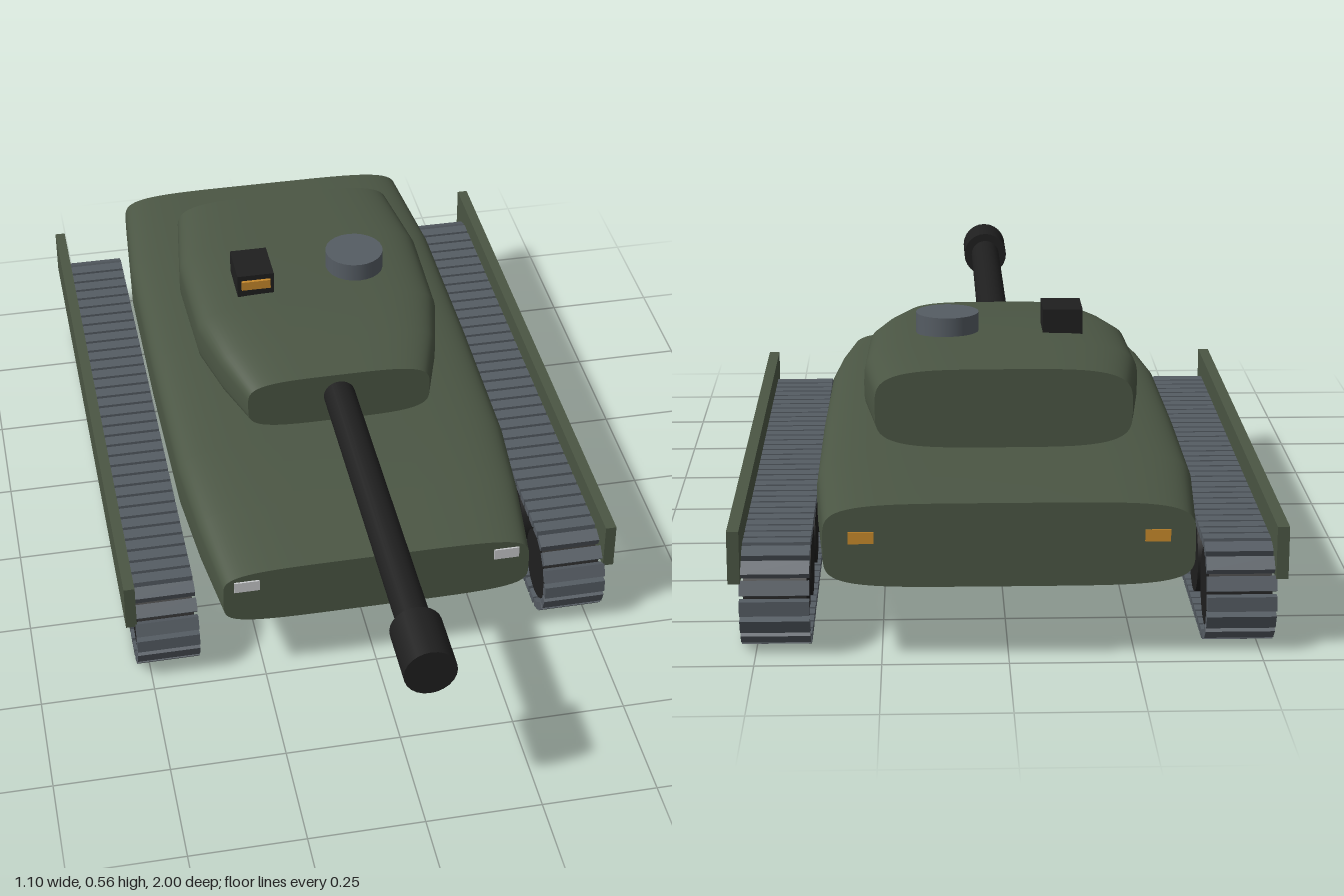
import * as THREE from 'three';

const mat = (name, color) => {
  const m = new THREE.MeshStandardMaterial({ color });
  m.name = name;
  return m;
};

// Loft rounded-box sections [z, halfWidth, bottom, top], listed front to back, with flat caps
function loft(sections, power, sides = 64) {
  const pos = [], idx = [];
  const soft = v => Math.sign(v) * Math.abs(v) ** (2 / power);
  const ring = ([z, w, y0, y1]) => {
    const start = pos.length / 3;
    for (let j = 0; j < sides; j++) {
      const t = (j / sides) * Math.PI * 2;
      pos.push(w * soft(Math.cos(t)), (y0 + y1) / 2 + ((y1 - y0) / 2) * soft(Math.sin(t)), z);
    }
    return start;
  };
  const starts = sections.map(ring);
  for (let i = 0; i < starts.length - 1; i++) {
    for (let j = 0; j < sides; j++) {
      const k = (j + 1) % sides;
      const a = starts[i] + j, b = starts[i] + k, c = starts[i + 1] + j, d = starts[i + 1] + k;
      idx.push(a, c, b, b, c, d);
    }
  }
  // Caps use their own vertices so the rim stays sharp
  [sections[0], sections[sections.length - 1]].forEach((s, end) => {
    const r = ring(s), centre = pos.length / 3;
    pos.push(0, (s[2] + s[3]) / 2, s[0]);
    for (let j = 0; j < sides; j++) {
      const k = (j + 1) % sides;
      if (end === 0) idx.push(centre, r + j, r + k);
      else idx.push(centre, r + k, r + j);
    }
  });
  const g = new THREE.BufferGeometry();
  g.setAttribute('position', new THREE.Float32BufferAttribute(pos, 3));
  g.setIndex(idx);
  g.computeVertexNormals();
  return g;
}

export function createModel() {
  const green = mat('armour green', 0x4b5644);
  const dark = mat('dark metal', 0x1f1f1f);
  const steel = mat('track steel', 0x555c63);
  const amber = mat('amber glass', 0xc88a2c);
  const white = mat('headlight glass', 0xc8cacc);

  const model = new THREE.Group();
  model.name = 'tank';
  const add = (name, geometry, material, x = 0, y = 0, z = 0, parent = model) => {
    const m = new THREE.Mesh(geometry, material);
    m.name = name;
    m.position.set(x, y, z);
    parent.add(m);
    return m;
  };
  const box = (w, h, d) => new THREE.BoxGeometry(w, h, d);

  // Hull and turret
  add('hull', loft([
    [0.5, 0.34, 0.163, 0.305], [0.3, 0.364, 0.15, 0.322], [0.1, 0.38, 0.143, 0.334],
    [-0.3, 0.385, 0.14, 0.338], [-0.7, 0.384, 0.143, 0.341], [-0.997, 0.362, 0.16, 0.33],
  ], 5), green);
  add('turret', loft([
    [0.07, 0.21, 0.355, 0.48], [-0.06, 0.252, 0.346, 0.494], [-0.2, 0.284, 0.338, 0.506],
    [-0.45, 0.291, 0.335, 0.511], [-0.66, 0.265, 0.342, 0.508],
  ], 4), green);

  // Gun
  const tube = (name, r, z0, z1) => {
    const m = add(name, new THREE.CylinderGeometry(r, r, z1 - z0, 24), dark, 0, 0.425, (z0 + z1) / 2);
    m.rotation.x = Math.PI / 2;
  };
  tube('gunBarrel', 0.036, 0.03, 0.9);
  tube('muzzle', 0.055, 0.865, 1);

  // Roof fittings
  add('cupola', new THREE.CylinderGeometry(0.068, 0.068, 0.06, 24), steel, 0.112, 0.52, -0.32);
  add('sightHousing', box(0.086, 0.064, 0.11), dark, -0.137, 0.528, -0.298);
  add('sightLens', box(0.068, 0.022, 0.008), amber, -0.137, 0.536, -0.24);

  for (const side of [1, -1]) {
    const name = side > 0 ? 'left' : 'right';

    // Lamps
    add(name + 'Headlight', box(0.056, 0.026, 0.008), white, side * 0.288, 0.268, 0.5);
    add(name + 'TailLight', box(0.05, 0.024, 0.008), amber, side * 0.288, 0.262, -0.996);

    // Running gear
    const gear = new THREE.Group();
    gear.name = name + 'RunningGear';
    gear.position.x = side * 0.46;
    model.add(gear);
    add('sideSkirt', box(0.024, 0.108, 1.42), green, side * 0.078, 0.21, -0.25, gear);

    const wheel = new THREE.CylinderGeometry(0.08, 0.08, 0.125, 28).rotateZ(Math.PI / 2);
    const front = 0.37, rear = -0.86, axle = 0.107;
    for (let i = 0; i < 7; i++) {
      add('roadWheel', wheel, dark, 0, axle, front + ((rear - front) * i) / 6, gear);
    }

    // Track links spaced evenly round a stadium-shaped path
    const r = 0.097, run = front - rear, arc = Math.PI * r, count = 80;
    const link = box(0.138, 0.018, 0.03);
    for (let i = 0; i < count; i++) {
      let s = (i / count) * 2 * (run + arc), y, z, turn;
      const half = s >= run + arc;
      if (half) s -= run + arc;
      if (s < run) {
        turn = 0;
        z = rear + s;
        y = r;
      } else {
        turn = (s - run) / r;
        z = front + r * Math.sin(turn);
        y = r * Math.cos(turn);
      }
      if (half) {
        z = front + rear - z;
        y = -y;
      }
      add('trackLink', link, steel, 0, axle + y, z, gear).rotation.x = turn;
    }
  }
  return model;
}
